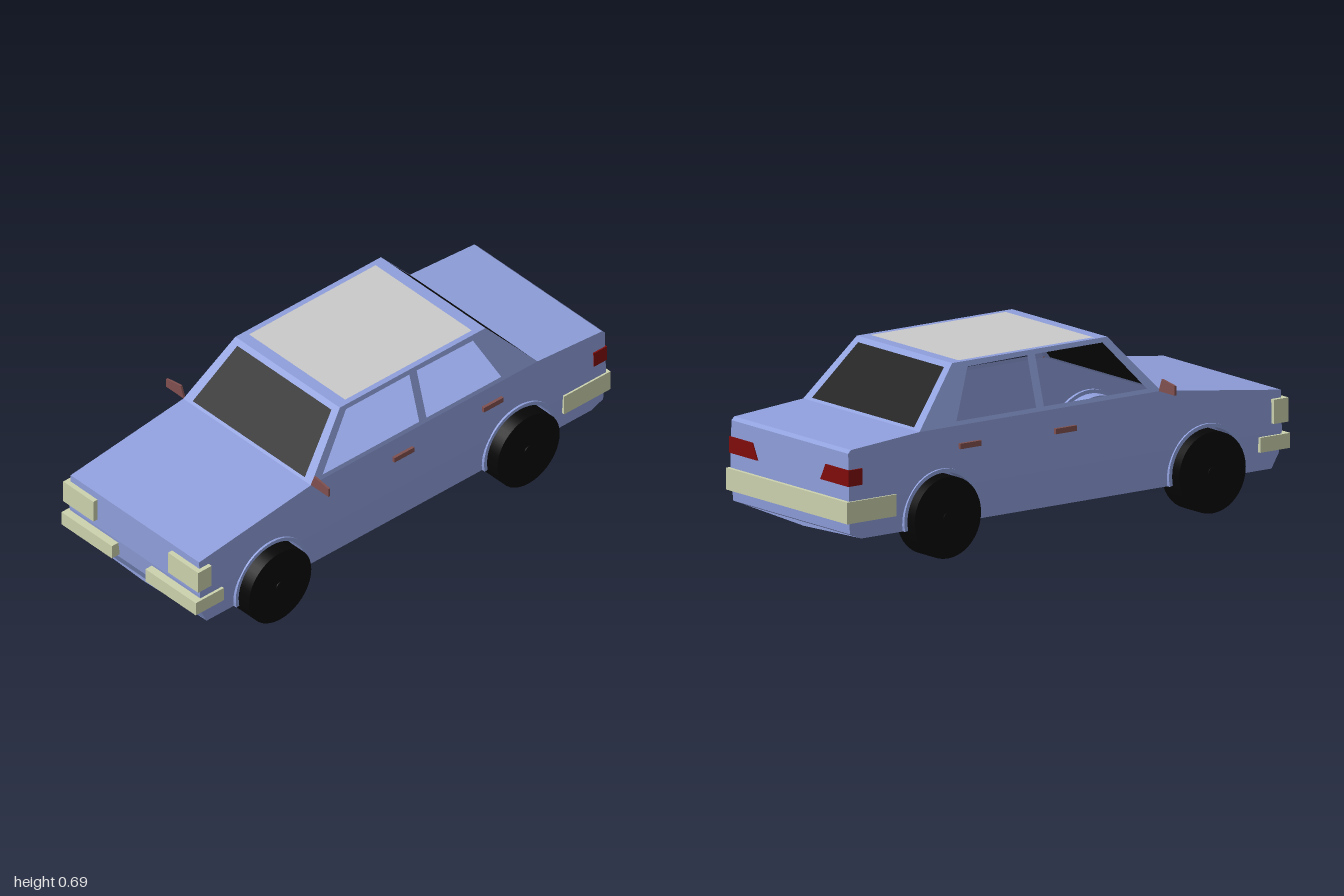
import * as THREE from 'three';

const mat = (name, color, side = THREE.FrontSide) => {
  const m = new THREE.MeshStandardMaterial({ color, side });
  m.name = name;
  return m;
};

// Half width of the body at height y
const LEVELS = [[0.1, 0.34], [0.25, 0.35], [0.47, 0.342], [0.685, 0.28]];
function halfWidth(y) {
  for (let i = 1; i < LEVELS.length; i++) {
    const [y0, w0] = LEVELS[i - 1], [y1, w1] = LEVELS[i];
    if (y <= y1 + 1e-6) return w0 + (w1 - w0) * (y - y0) / (y1 - y0);
  }
  return 0.28;
}

const toShape = pts => new THREE.Shape(pts.map(p => new THREE.Vector2(p[0], p[1])));

// Flat outline with holes, each vertex moved by a rule
function mappedShape(pts, holes, rule) {
  const shape = toShape(pts);
  holes.forEach(h => shape.holes.push(toShape(h)));
  const g = new THREE.ShapeGeometry(shape).toNonIndexed();
  const p = g.attributes.position;
  for (let i = 0; i < p.count; i++) p.setXYZ(i, ...rule(p.getX(i), p.getY(i)));
  g.computeVertexNormals();
  return g;
}

// Surface across the car following an x,y path between two z rules
function strip(path, zA, zB) {
  const pos = [];
  for (let i = 1; i < path.length; i++) {
    const [x0, y0] = path[i - 1], [x1, y1] = path[i];
    const a = [x0, y0, zA(y0)], b = [x0, y0, zB(y0)], c = [x1, y1, zB(y1)], d = [x1, y1, zA(y1)];
    pos.push(...a, ...b, ...c, ...a, ...c, ...d);
  }
  const g = new THREE.BufferGeometry();
  g.setAttribute('position', new THREE.Float32BufferAttribute(pos, 3));
  g.computeVertexNormals();
  return g;
}

export function createModel() {
  const car = new THREE.Group();
  car.name = 'car';
  const paint = mat('bluePaint', 0x8f9fdc, THREE.DoubleSide);
  const glass = mat('darkGlass', 0x0d0d0d, THREE.DoubleSide);
  const roofGrey = mat('roofGrey', 0xcacaca, THREE.DoubleSide);
  const cream = mat('cream', 0xccd2ae);
  const red = mat('tailRed', 0x800c0c);
  const brown = mat('trimBrown', 0x80504f);
  const rubber = mat('tyreBlack', 0x060606);

  const add = (name, geo, material) => {
    const m = new THREE.Mesh(geo, material);
    m.name = name;
    car.add(m);
    return m;
  };
  // Box from its limits
  const box = (name, material, x0, x1, y0, y1, z0, z1) =>
    add(name, new THREE.BoxGeometry(Math.abs(x1 - x0), Math.abs(y1 - y0), Math.abs(z1 - z0)), material)
      .position.set((x0 + x1) / 2, (y0 + y1) / 2, (z0 + z1) / 2);
  // Outline in z,y given thickness along x
  const plateX = (name, material, pts, x, depth) => {
    const g = new THREE.ExtrudeGeometry(toShape(pts.map(([z, y]) => [-z, y])), { depth, bevelEnabled: false });
    add(name, g.rotateY(Math.PI / 2), material).position.x = x;
  };

  const FRONT = -0.63, REAR = 0.565, HUB = 0.15, ARCH = 0.16, SILL = 0.115;
  const arc = (cx, r, a0, a1, n = 14) => Array.from({ length: n + 1 }, (_, i) => {
    const a = a0 + (a1 - a0) * i / n;
    return [cx + r * Math.cos(a), HUB + r * Math.sin(a)];
  });
  const hi = Math.asin((0.25 - HUB) / ARCH), lo = Math.asin((HUB - SILL) / ARCH), PI = Math.PI;
  const nose = [[-0.93, SILL], [-0.96, 0.17], [-0.97, 0.25], [-0.97, 0.4]];
  const tail = [[0.66, 0.47], [0.97, 0.447], [0.983, 0.435], [0.983, 0.25], [0.975, 0.138], [0.92, SILL]];

  // Body sides in flat panels with wheel cutouts
  const sidePanels = [
    [nose[0], ...arc(FRONT, ARCH, PI + lo, PI - hi), nose[2], nose[1]],
    [...arc(FRONT, ARCH, hi, -lo), ...arc(REAR, ARCH, PI + lo, PI - hi)],
    [...arc(REAR, ARCH, hi, -lo), tail[5], tail[4], tail[3]],
    [nose[2], ...arc(FRONT, ARCH, PI - hi, hi), ...arc(REAR, ARCH, PI - hi, hi),
      tail[3], tail[2], tail[1], tail[0], [-0.43, 0.47], nose[3]],
  ];
  const cabinSide = [[-0.43, 0.47], [0.66, 0.47], [0.465, 0.685], [-0.235, 0.685]];
  const sideWindows = [
    [[-0.37, 0.485], [0.095, 0.485], [0.095, 0.668], [-0.21, 0.668]],
    [[0.13, 0.485], [0.49, 0.485], [0.4, 0.665], [0.13, 0.668]],
  ];
  for (const s of [1, -1]) {
    const onSide = (x, y) => [x, y, s * halfWidth(y)];
    sidePanels.forEach(p => add('bodySide', mappedShape(p, [], onSide), paint));
    add('cabinSide', mappedShape(cabinSide, sideWindows, onSide), paint);
  }

  // Nose, hood, trunk and tail
  const right = y => -halfWidth(y), left = y => halfWidth(y);
  add('noseAndHood', strip([...nose, [-0.43, 0.47]], left, right), paint);
  add('trunkAndTail', strip(tail, left, right), paint);

  // Floor with a shallow keel
  const keelX = [-0.93, 0.92];
  for (const s of [1, -1]) {
    add('floor', mappedShape([[-0.93, 0], [0.92, 0], [0.92, 1], [-0.93, 1]], [],
      (x, t) => [x, 0.1 + (SILL - 0.1) * t, s * t * halfWidth(SILL)]), paint);
    keelX.forEach(x => add('floorEnd', mappedShape([[0, 0.1], [halfWidth(SILL), SILL], [0, SILL]], [],
      (z, y) => [x, y, s * z]), paint));
  }

  // Framed panels: windscreen, rear window and roof
  const framed = (frameName, paneName, material, bottom, top, pane) => {
    const rule = (u, v) => {
      const y = bottom[1] + (top[1] - bottom[1]) * v;
      return [bottom[0] + (top[0] - bottom[0]) * v, y, u * halfWidth(y)];
    };
    add(frameName, mappedShape([[-1, 0], [1, 0], [1, 1], [-1, 1]], [pane], rule), paint);
    add(paneName, mappedShape(pane, [], rule), material);
  };
  const screen = [[-0.885, 0.04], [0.885, 0.04], [0.885, 0.92], [-0.885, 0.92]];
  framed('windscreenFrame', 'windscreen', glass, cabinSide[0], cabinSide[3], screen);
  framed('rearWindowFrame', 'rearWindow', glass, cabinSide[1], cabinSide[2], screen);
  framed('roofFrame', 'roofPanel', roofGrey, cabinSide[3], cabinSide[2],
    [[-0.92, 0.065], [0.92, 0.065], [0.92, 0.935], [-0.92, 0.935]]);

  // Wheels, wells and arch lips
  for (const cx of [FRONT, REAR]) for (const s of [1, -1]) {
    const well = arc(cx, ARCH, -lo, PI + lo, 28);
    add('wheelWell', strip(well, () => s * 0.288, y => s * halfWidth(y)), paint);
    add('wheelWellCap', mappedShape(well, [], (x, y) => [x, y, s * 0.288]), paint);
    const lip = [...arc(cx, 0.174, -0.2, PI + 0.2, 28), ...arc(cx, ARCH, PI + 0.2, -0.2, 28)];
    add('archLip', new THREE.ExtrudeGeometry(toShape(lip), { depth: 0.02, bevelEnabled: false }), paint)
      .position.z = s > 0 ? 0.336 : -0.356;
    const zc = s * 0.34 + 0.0075;
    add('wheel', new THREE.CylinderGeometry(0.15, 0.15, 0.105, 40).rotateX(PI / 2), rubber)
      .position.set(cx, HUB, zc);
    add('wheelHub', new THREE.CylinderGeometry(0.02, 0.02, 0.112, 16).rotateX(PI / 2), rubber)
      .position.set(cx, HUB, zc);
  }

  // Rear bumper centre
  box('rearBumper', cream, 0.972, 0.998, 0.18, 0.26, -0.357, 0.357);

  for (const s of [1, -1]) {
    // Bumper corners and headlights
    box('rearBumperEnd', cream, 0.775, 0.99, 0.18, 0.26, s * 0.33, s * 0.357);
    box('frontBumper', cream, -1, -0.955, 0.185, 0.24, s * 0.09, s * 0.36);
    box('frontBumperEnd', cream, -0.97, -0.865, 0.185, 0.24, s * 0.33, s * 0.36);
    box('headlight', cream, -0.99, -0.925, 0.283, 0.372, s * 0.2, s * 0.362);
    // Tail lights wrapping the corners
    plateX('tailLight', red, [[s * 0.345, 0.315], [s * 0.185, 0.315], [s * 0.215, 0.375], [s * 0.345, 0.375]], 0.982, 0.006);
    box('tailLightSide', red, 0.925, 0.987, 0.315, 0.375, s * 0.342, s * 0.351);
    // Door handles
    box('frontDoorHandle', brown, -0.04, 0.055, 0.38, 0.4, s * 0.34, s * 0.356);
    box('rearDoorHandle', brown, 0.39, 0.485, 0.385, 0.405, s * 0.34, s * 0.356);
    // Door mirrors
    plateX('doorMirror', brown, [[s * 0.34, 0.47], [s * 0.435, 0.47], [s * 0.435, 0.503], [s * 0.358, 0.517]]
      .map(([z, y], i) => i === 2 ? [z, 0.505] : [z, y]), -0.429, 0.008);
  }
  return car;
}
